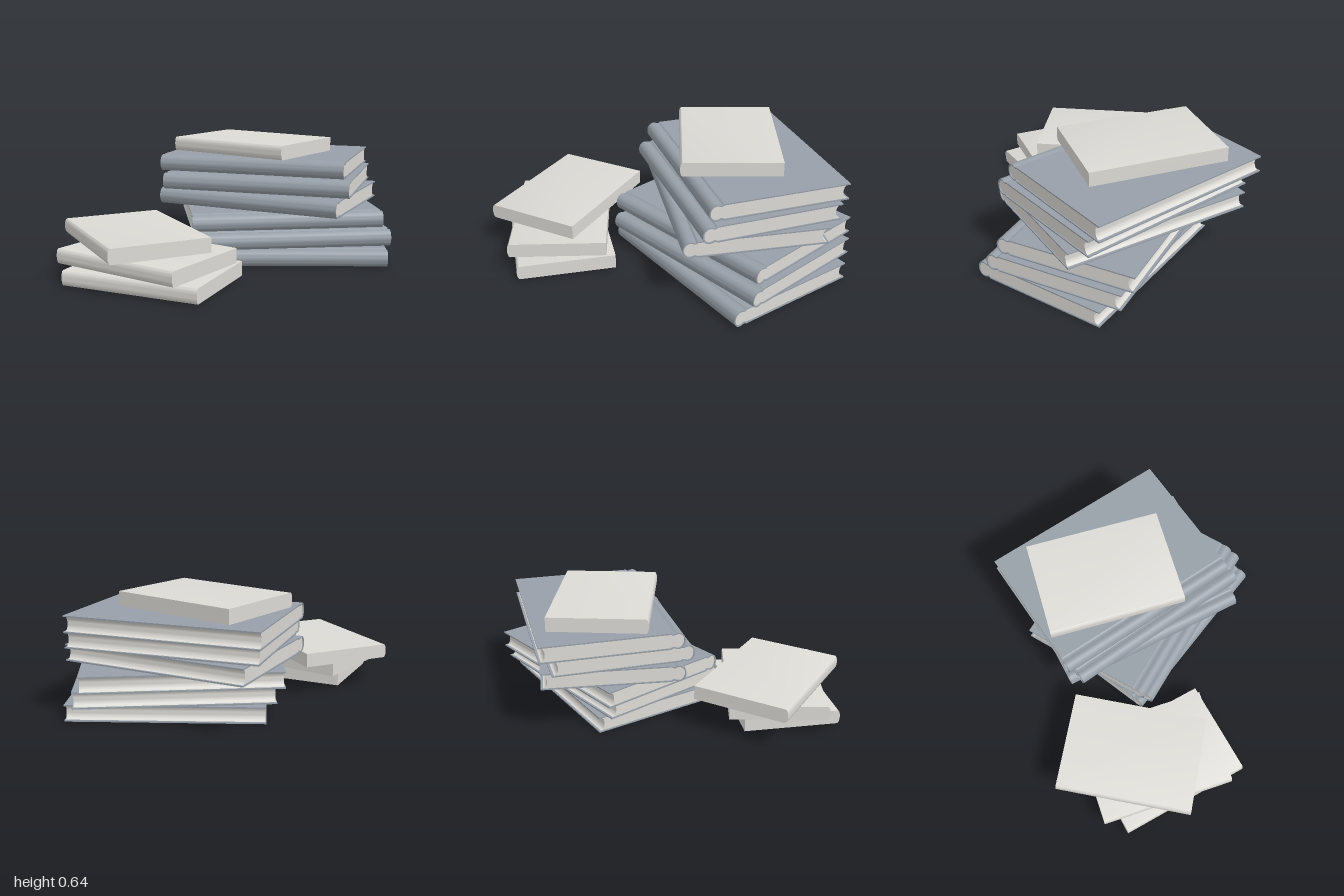
import * as THREE from 'three';
import { toCreasedNormals } from 'three/addons/utils/BufferGeometryUtils.js';

const material = (name, color, side = THREE.FrontSide) => {
  const m = new THREE.MeshStandardMaterial({ color, side });
  m.name = name;
  return m;
};

// Points of a half ellipse bulging toward -x, from the bottom to the top
const arc = (cx, rx, ry, n = 14) => Array.from({ length: n + 1 }, (_, i) => {
  const t = -Math.PI / 2 + (i / n) * Math.PI;
  return [cx - rx * Math.cos(t), ry * Math.sin(t)];
});

// Extrude an outline along z, centred, with rounded parts smooth
function slab(points, length) {
  const shape = new THREE.Shape(points.map(([x, y]) => new THREE.Vector2(x, y)));
  const geo = new THREE.ExtrudeGeometry(shape, { depth: length, bevelEnabled: false });
  geo.translate(0, 0, -length / 2);
  return toCreasedNormals(geo, 0.5);
}

const mirrorY = (pts) => pts.map(([x, y]) => [x, -y]).reverse();

// Hardback: width, length and height
const W = 0.752, L = 1.037, H = 0.09, BOARD = 0.007;

function coverGeometry() {
  const x0 = -W / 2, h = H / 2, r = 0.038;
  // Hinge groove and board, from spine to fore edge
  const top = (d) => [
    [x0 + r + 0.012, h - 0.002 - d], [x0 + r + 0.02, h - 0.006 - d],
    [x0 + r + 0.03, h - 0.006 - d], [x0 + r + 0.038, h - d], [W / 2, h - d],
  ];
  const outer = [...mirrorY(top(0)), ...arc(x0 + r, r, h), ...top(0)];
  const inner = [...mirrorY(top(BOARD)), ...arc(x0 + r, r - BOARD, h - BOARD), ...top(BOARD)];
  return slab([...outer, ...inner.reverse()], L);
}

function pageGeometry() {
  const h = H / 2 - BOARD, r = 0.032;
  // Rounded back, hollow fore edge
  const back = arc(-W / 2 + 0.038, r, h);
  const fore = arc(W / 2 - 0.012, 0.022, h).reverse();
  return slab([...back, ...fore], L - 0.012);
}

// Paperback: a plain block with a softly rounded spine
function paperbackGeometry() {
  const w = 0.525, h = 0.077 / 2;
  return slab([...arc(-w / 2 + 0.014, 0.014, h), [w / 2, h], [w / 2, -h]], 0.733);
}

export function createModel() {
  const model = new THREE.Group();
  const cloth = material('blue grey cover', 0x979fa8, THREE.DoubleSide);
  const paper = material('pale paper', 0xdcdad5);
  const cover = coverGeometry(), pages = pageGeometry(), block = paperbackGeometry();

  // Large stack, bottom to top: x, z, turn in degrees
  const large = new THREE.Group();
  large.name = 'hardbackStack';
  [
    [0.36, 0.079, 60.3], [0.359, 0.055, 67.3], [0.345, 0, 67.9],
    [0.324, -0.044, 35.7], [0.332, -0.058, 43.6], [0.35, -0.12, 42.6],
  ].forEach(([x, z, turn], i) => {
    const book = new THREE.Group();
    book.name = `hardback${i + 1}`;
    const c = new THREE.Mesh(cover, cloth);
    c.name = 'cover';
    const p = new THREE.Mesh(pages, paper);
    p.name = 'pages';
    book.add(c, p);
    book.position.set(x, H / 2 + i * 0.0932, z);
    book.rotation.y = THREE.MathUtils.degToRad(turn);
    large.add(book);
  });
  model.add(large);

  // Paperbacks: three in the small stack, one on the large stack
  [
    [-0.57, 0.047, 0.302, 37.2], [-0.582, 0.125, 0.247, 26.7],
    [-0.599, 0.211, 0.13, -2.7], [0.262, 0.6, -0.141, 24.5],
  ].forEach(([x, y, z, turn], i) => {
    const book = new THREE.Mesh(block, paper);
    book.name = `paperback${i + 1}`;
    book.position.set(x, y, z);
    book.rotation.y = THREE.MathUtils.degToRad(turn);
    model.add(book);
  });
  return model;
}
